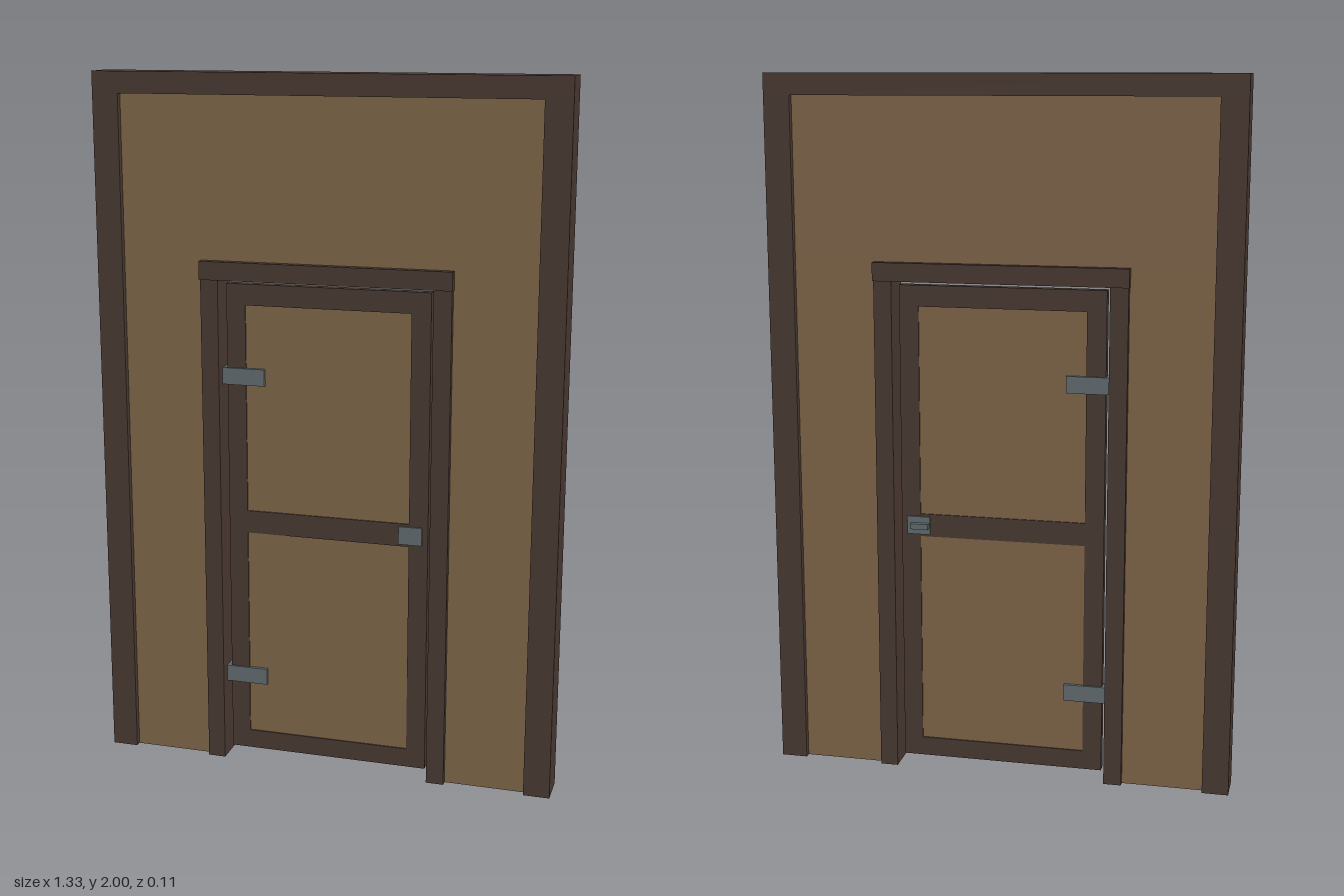
import * as THREE from 'three';

const material = (name, color) => {
  const m = new THREE.MeshStandardMaterial({ color });
  m.name = name;
  return m;
};

export function createModel() {
  const darkWood = material('dark wood', 0x4a3a33);
  const lightWood = material('light wood', 0x80674a);
  const metal = material('grey metal', 0x646d71);

  const model = new THREE.Group();
  model.name = 'doorWall';

  // Box given by its x, y and z limits
  const box = (parent, name, mat, [x0, x1], [y0, y1], [z0, z1]) => {
    const mesh = new THREE.Mesh(new THREE.BoxGeometry(x1 - x0, y1 - y0, z1 - z0), mat);
    mesh.position.set((x0 + x1) / 2, (y0 + y1) / 2, (z0 + z1) / 2);
    mesh.name = name;
    parent.add(mesh);
  };
  const group = (name) => {
    const g = new THREE.Group();
    g.name = name;
    model.add(g);
    return g;
  };
  const sided = (s, a, b) => (s > 0 ? [a, b] : [-b, -a]);
  const both = (z) => [-z, z];

  // Outer frame, wall panels and door casing
  const frame = group('outerFrame');
  const wall = group('wall');
  const casing = group('doorCasing');
  for (const [side, s] of [['left', 1], ['right', -1]]) {
    box(frame, side + 'Post', darkWood, sided(s, 0.59, 0.665), [0, 1.94], both(0.05));
    box(wall, side + 'WallPanel', lightWood, sided(s, 0.358, 0.59), [0, 1.487], both(0.032));
    box(casing, side + 'Jamb', darkWood, sided(s, 0.307, 0.358), [0, 1.435], both(0.05));
  }
  box(frame, 'topBeam', darkWood, both(0.665), [1.94, 2], both(0.05));
  box(wall, 'upperWallPanel', lightWood, both(0.59), [1.487, 1.94], both(0.032));
  box(casing, 'lintel', darkWood, both(0.36), [1.435, 1.487], both(0.055));

  // Door leaf: stiles, rails and thin infill panels
  const door = group('door');
  for (const [side, s] of [['left', 1], ['right', -1]]) {
    box(door, side + 'Stile', darkWood, sided(s, 0.239, 0.294), [0.025, 1.422], both(0.014));
  }
  for (const [name, y0, y1] of [['bottomRail', 0.025, 0.08], ['middleRail', 0.697, 0.763], ['topRail', 1.362, 1.422]]) {
    box(door, name, darkWood, both(0.239), [y0, y1], both(0.014));
  }
  box(door, 'lowerDoorPanel', lightWood, both(0.239), [0.08, 0.697], both(0.01));
  box(door, 'upperDoorPanel', lightWood, both(0.239), [0.763, 1.362], both(0.01));

  // Hinge straps wrap both faces of the door
  for (const [name, y] of [['lowerHinge', 0.257], ['upperHinge', 1.158]]) {
    box(door, name, metal, [-0.31, -0.183], [y - 0.024, y + 0.024], both(0.02));
  }

  // Latch plate with a small handle on the back
  box(door, 'latchPlate', metal, [0.21, 0.277], [0.704, 0.756], both(0.02));
  box(door, 'latchHandle', metal, [0.212, 0.265], [0.722, 0.738], [-0.036, -0.02]);

  return model;
}
